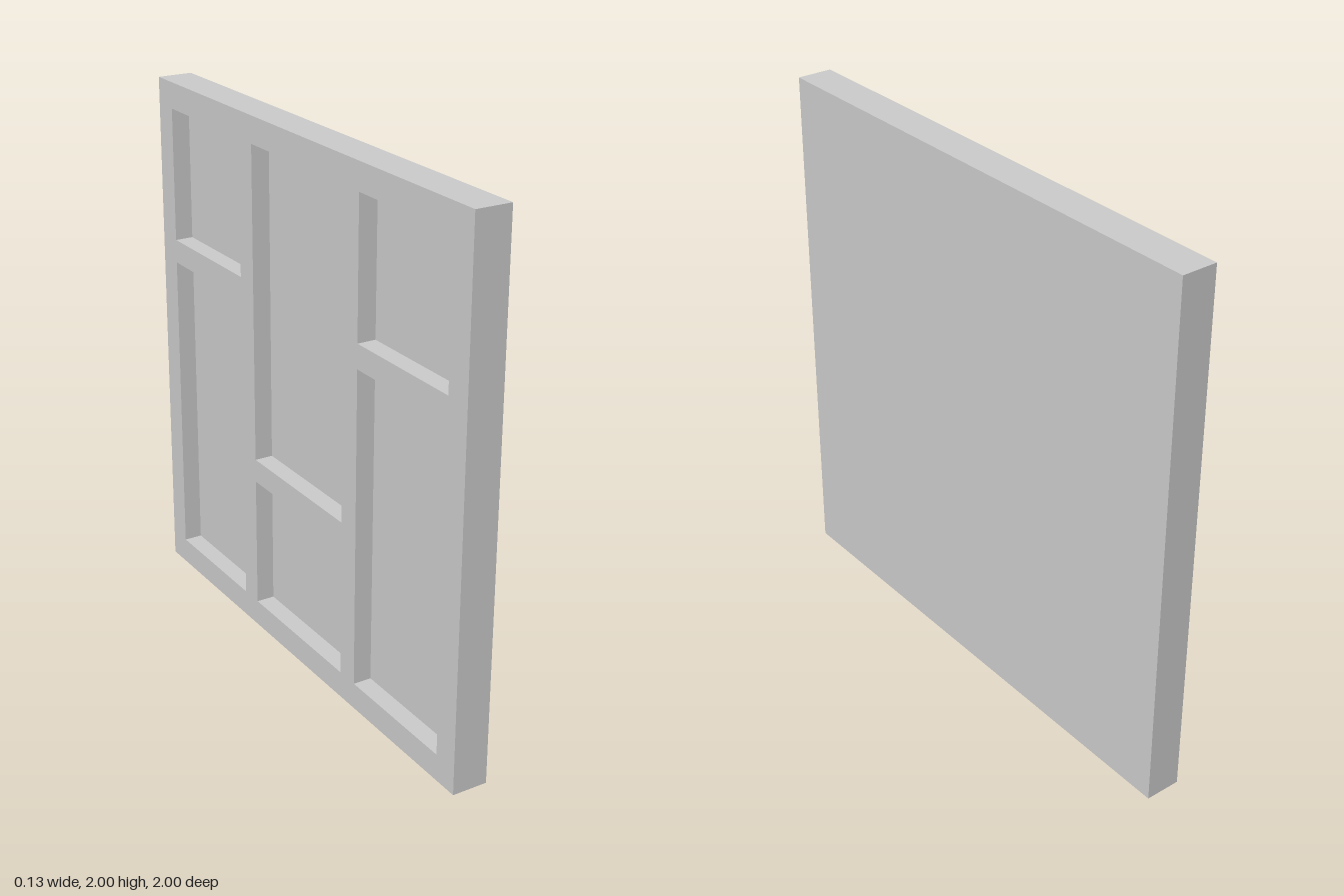
import * as THREE from 'three';

const SIZE = 2, THICK = 0.134, DEPTH = 0.07;

// Recesses on the -x face: [zMin, zMax, yMin, yMax]
const RECESSES = [
  [-0.9, -0.39, 1.39, 1.9], [-0.9, -0.39, 0.1, 1.3],
  [-0.3, 0.3, 0.7, 1.9], [-0.3, 0.3, 0.1, 0.61],
  [0.39, 0.9, 1.39, 1.9], [0.39, 0.9, 0.1, 1.3],
];

// Traces a rectangle onto a shape or path
function rect(path, x0, x1, y0, y1) {
  path.moveTo(x0, y0).lineTo(x1, y0).lineTo(x1, y1).lineTo(x0, y1).closePath();
  return path;
}

export function createModel() {
  const group = new THREE.Group();
  group.name = 'recessedPanel';
  const material = new THREE.MeshStandardMaterial({ color: 0xcccccc, flatShading: true });

  // Solid backing slab, plain on its +x face
  const slab = THICK - DEPTH;
  const backing = new THREE.Mesh(new THREE.BoxGeometry(slab, SIZE, SIZE), material);
  backing.name = 'backingSlab';
  backing.position.set(THICK / 2 - slab / 2, SIZE / 2, 0);
  group.add(backing);

  // Lattice frame, drawn in (z, y) and extruded towards -x
  const outline = rect(new THREE.Shape(), -SIZE / 2, SIZE / 2, 0, SIZE);
  for (const r of RECESSES) outline.holes.push(rect(new THREE.Path(), ...r));
  const geometry = new THREE.ExtrudeGeometry(outline, { depth: DEPTH, bevelEnabled: false });
  geometry.rotateY(-Math.PI / 2);
  const frame = new THREE.Mesh(geometry, material);
  frame.name = 'latticeFrame';
  frame.position.x = THICK / 2 - slab;
  group.add(frame);

  return group;
}
